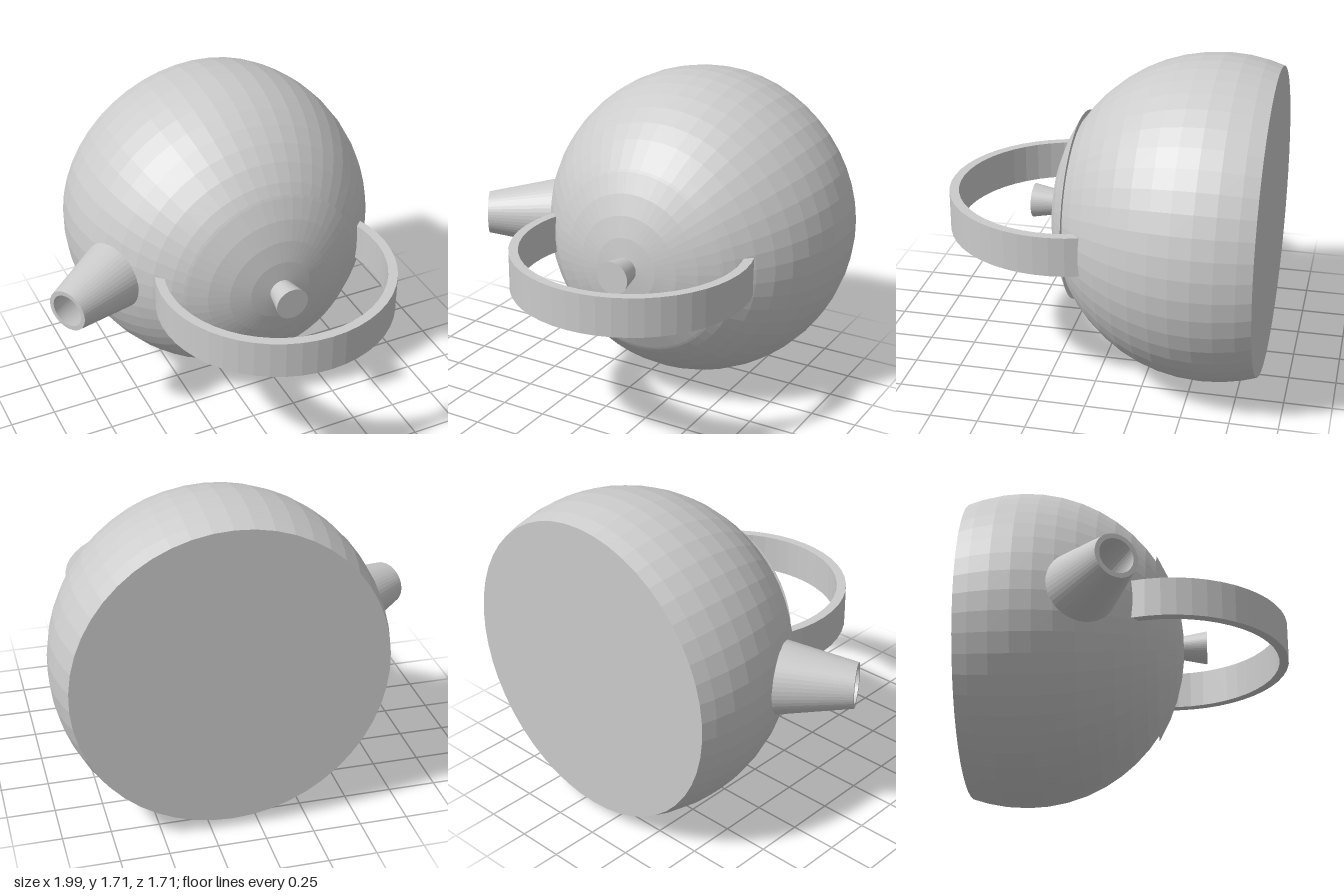
import * as THREE from 'three';

const SEG = 50;                 // facets around every round part
const R = 0.857;                // body radius
const CX = 0.14, CY = 0.86, CZ = -0.57; // body centre
const STEP = Math.PI * 2 / SEG;

const material = new THREE.MeshStandardMaterial({ color: 0xcccccc, flatShading: true });

// Surface of revolution from [radius, height] pairs, listed bottom to top
function turned(name, points, phiStart = 0, segments = SEG) {
  const profile = points.map(([r, h]) => new THREE.Vector2(r, h));
  const geometry = new THREE.LatheGeometry(profile, segments, phiStart, segments * STEP);
  const mesh = new THREE.Mesh(geometry, material);
  mesh.name = name;
  return mesh;
}

// Slice of a faceted ball between two heights, closed with flat discs
function ballSlice(low, high, widen = 1) {
  const radiusAt = (h) => Math.sqrt(Math.max(0, R * R - h * h)) * widen;
  const points = [[0, low], [radiusAt(low), low]];
  for (let k = SEG / 2 - 1; k >= 0; k--) {
    const angle = (k + 0.5) * STEP;
    const h = R * Math.cos(angle);
    if (h > low + 0.005 && h < high - 0.005) points.push([R * Math.sin(angle) * widen, h]);
  }
  points.push([radiusAt(high), high], [0, high]);
  return points;
}

export function createModel() {
  const model = new THREE.Group();
  model.name = 'teapot';

  // Pot, lid and knob share one axis pointing to the front
  const pot = new THREE.Group();
  pot.name = 'pot';
  pot.position.set(CX, CY, CZ);
  pot.rotation.x = Math.PI / 2;
  pot.add(turned('body', ballSlice(-0.29, 0.72)));
  pot.add(turned('lid', ballSlice(0.715, R * Math.cos(STEP / 2), 1.066)));
  pot.add(turned('knob', [[0, 0.82], [0.06, 0.82], [0.09, 0.98], [0, 0.98]]));
  model.add(pot);

  // Band handle: an open ring whose ends sink into the body
  const handleSegments = 34;
  const handle = turned('handle',
    [[0.59, -0.105], [0.64, -0.105], [0.64, 0.105], [0.59, 0.105], [0.59, -0.105]],
    -handleSegments * STEP / 2, handleSegments);
  handle.position.set(CX, CY, 0.21);
  model.add(handle);

  // Hollow tapering spout, measured back from its tip
  const spout = turned('spout',
    [[0.215, -0.5], [0.117, 0], [0.092, 0], [0.19, -0.5]]);
  const direction = new THREE.Vector3(-Math.cos(Math.PI / 6), 0, 0.5);
  spout.quaternion.setFromUnitVectors(new THREE.Vector3(0, 1, 0), direction);
  spout.position.set(-0.94, CY, -0.03);
  model.add(spout);

  return model;
}
